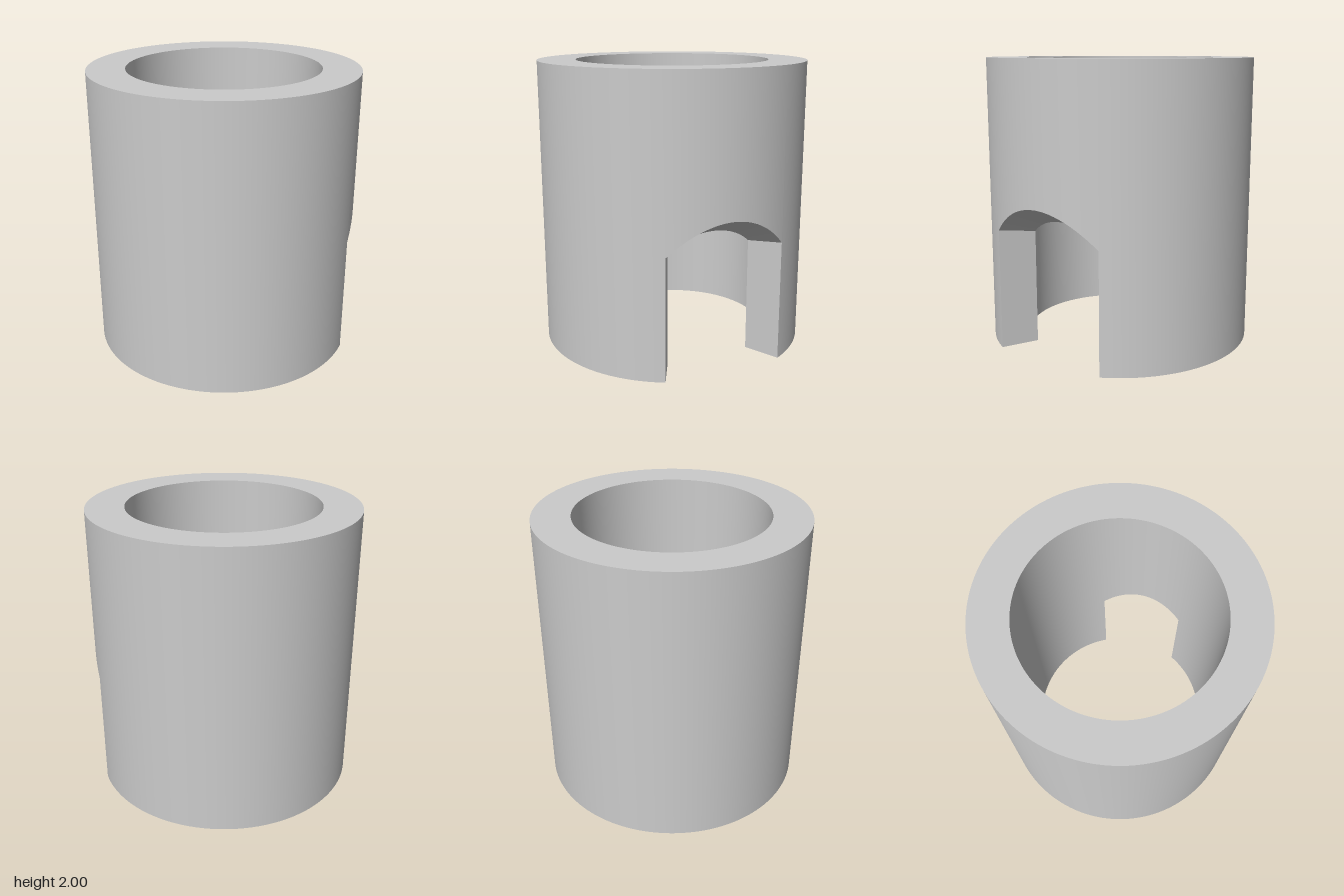
import * as THREE from 'three';
import { toCreasedNormals } from 'three/addons/utils/BufferGeometryUtils.js';

const OUTER = 0.935, INNER = 0.67, HEIGHT = 2;
const NOTCH_START = THREE.MathUtils.degToRad(-26.3);
const NOTCH_END = THREE.MathUtils.degToRad(27.4);
const MID = (NOTCH_START + NOTCH_END) / 2, HALF = (NOTCH_END - NOTCH_START) / 2;

// Underside height of the notch: an arch highest at mid-angle, sloping down inward
function archHeight(angle, crown, drop) {
  const t = angle - MID;
  return crown - drop * (1 - Math.cos(t)) / (1 - Math.cos(HALF)) + 0.005 * t / HALF;
}

// Rectangular wall section: outer bottom, outer top, inner top, inner bottom
function section(angle, inNotch) {
  const at = (r, y) => [r * Math.cos(angle), y, r * Math.sin(angle)];
  return [
    at(OUTER, inNotch ? archHeight(angle, 1.055, 0.215) : 0),
    at(OUTER, HEIGHT),
    at(INNER, HEIGHT),
    at(INNER, inNotch ? archHeight(angle, 0.925, 0.12) : 0),
  ];
}

// Sweep the section once around, over the notch and then along the full wall
function sleeveGeometry() {
  const sections = [];
  const addArc = (from, to, steps, inNotch) => {
    for (let i = 0; i <= steps; i++) {
      sections.push(section(from + (to - from) * i / steps, inNotch));
    }
  };
  const notchSteps = 24, wallSteps = 128;
  addArc(NOTCH_START, NOTCH_END, notchSteps, true);
  addArc(NOTCH_END, NOTCH_START + Math.PI * 2, wallSteps, false);

  const positions = [];
  sections.forEach((a, i) => {
    const b = sections[(i + 1) % sections.length];
    // At the notch ends only the flat radial side wall has area
    const isNotchSide = i === notchSteps || i === sections.length - 1;
    for (let k = isNotchSide ? 3 : 0; k < 4; k++) {
      const n = (k + 1) % 4;
      positions.push(...a[k], ...a[n], ...b[n], ...a[k], ...b[n], ...b[k]);
    }
  });
  const geometry = new THREE.BufferGeometry();
  geometry.setAttribute('position', new THREE.Float32BufferAttribute(positions, 3));
  return toCreasedNormals(geometry, 0.4);
}

export function createModel() {
  const group = new THREE.Group();
  group.name = 'notchedSleeve';
  const sleeve = new THREE.Mesh(
    sleeveGeometry(),
    new THREE.MeshStandardMaterial({ color: 0xcccccc })
  );
  sleeve.name = 'sleeve';
  group.add(sleeve);
  return group;
}
